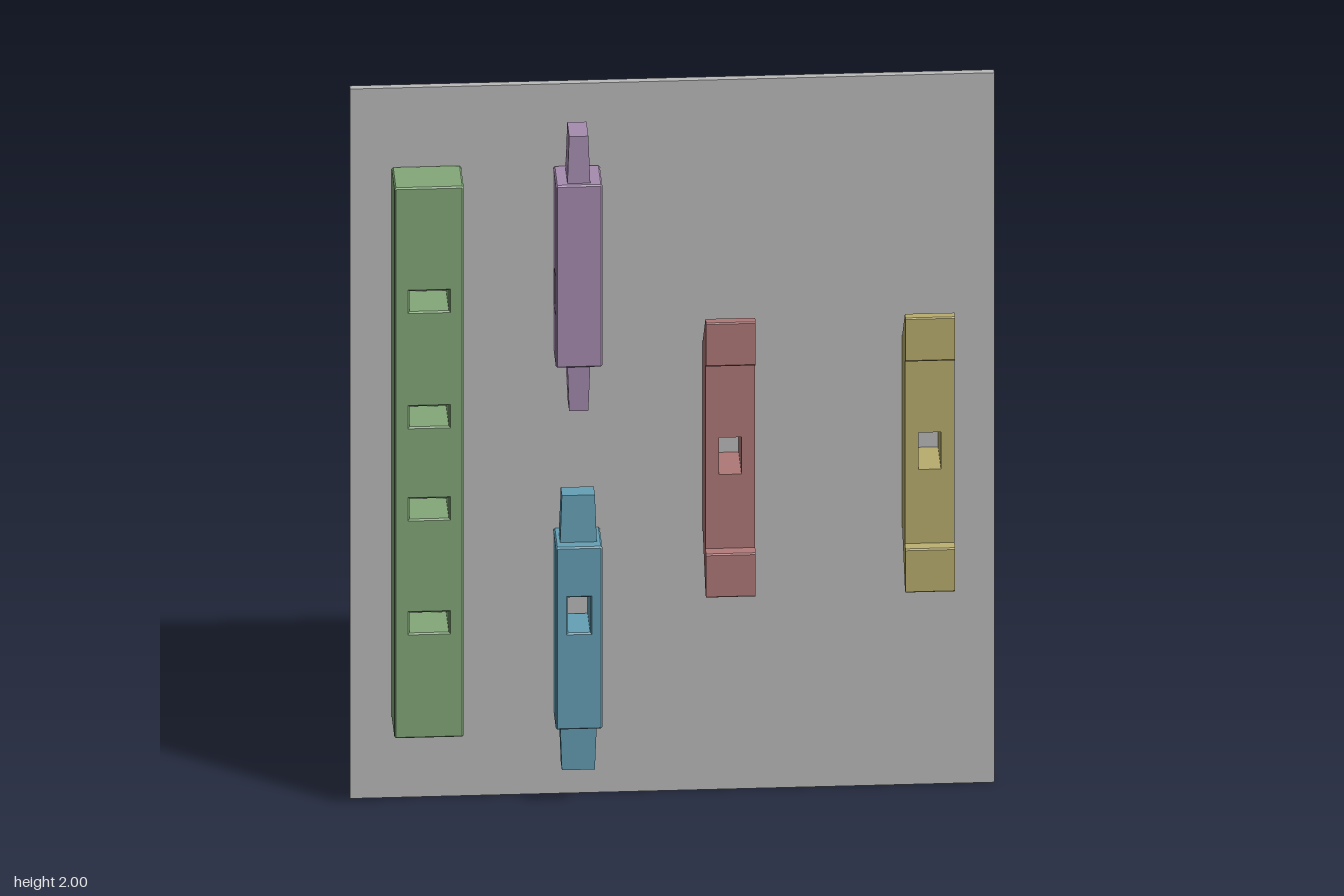
import * as THREE from 'three';

const paint = (name, color) => {
  const m = new THREE.MeshStandardMaterial({ color });
  m.name = name;
  return m;
};

const BACK = -0.067; // front face of the board, where every part rests

function part(name, geometry, material, parent) {
  const mesh = new THREE.Mesh(geometry, material);
  mesh.name = name;
  parent.add(mesh);
  return mesh;
}

function rectPath(path, x, y, w, h, c = 0) {
  const a = w / 2, b = h / 2;
  const pts = c
    ? [[-a + c, -b], [a - c, -b], [a, -b + c], [a, b - c], [a - c, b], [-a + c, b], [-a, b - c], [-a, -b + c]]
    : [[-a, -b], [a, -b], [a, b], [-a, b]];
  path.setFromPoints(pts.map(([px, py]) => new THREE.Vector2(x + px, y + py)));
  path.closePath();
  return path;
}

// Upright block centred on x, z with mortises [y, w, h] cut through its depth
function mortisedBlock(w, y0, y1, depth, holes, bevel) {
  const shape = rectPath(new THREE.Shape(), 0, (y0 + y1) / 2, w, y1 - y0, bevel);
  for (const [y, hw, hh] of holes) shape.holes.push(rectPath(new THREE.Path(), 0, y, hw, hh));
  const g = new THREE.ExtrudeGeometry(shape, {
    depth: depth - 2 * bevel, bevelEnabled: bevel > 0,
    bevelThickness: bevel, bevelSize: bevel, bevelOffset: -bevel, bevelSegments: 1,
  });
  return g.translate(0, 0, -(depth - 2 * bevel) / 2);
}

// Tenon narrowing slightly away from its shoulder; dir is +1 up or -1 down
function tenon(y, dir) {
  const g = new THREE.BoxGeometry(0.093, 0.13, 0.058).toNonIndexed();
  const p = g.attributes.position;
  for (let i = 0; i < p.count; i++) {
    if (p.getY(i) * dir > 0) {
      p.setX(i, p.getX(i) * 0.9);
      p.setZ(i, p.getZ(i) * 0.84);
    }
  }
  g.computeVertexNormals();
  return g.translate(0, y + dir * 0.065, 0);
}

// Square post with a tenon at each end and one mortise
function tenonedPost(name, y0, y1, holeY, material) {
  const post = new THREE.Group();
  post.name = name;
  part('postBody', mortisedBlock(0.118, y0, y1, 0.118, [[holeY, 0.056, 0.1]], 0.004), material, post);
  part('upperTenon', tenon(y1, 1), material, post);
  part('lowerTenon', tenon(y0, -1), material, post);
  post.position.set(-0.243, 0, -0.007);
  return post;
}

// Brace with a mortised middle and two raised, slanted ends
function brace(name, x, material) {
  const g = new THREE.Group();
  g.name = name;
  const w = 0.126, mid = 1.0015, half = 0.26, tip = 0.387, front = 0.061;
  part('braceMiddle', mortisedBlock(w, mid - half, mid + half, front - BACK, [[mid, 0.057, 0.104]], 0), material, g)
    .position.z = (front + BACK) / 2;
  for (const s of [1, -1]) {
    const pts = [[BACK, half], [front, half], [0.083, half + 0.004], [0.086, half + 0.008],
      [0.086, tip - 0.003], [0.083, tip], [0.06, tip]];
    const shape = new THREE.Shape(pts.map(([z, y]) => new THREE.Vector2(z, y * s)));
    const end = new THREE.ExtrudeGeometry(shape, { depth: w, bevelEnabled: false });
    end.translate(0, 0, -w / 2).rotateY(-Math.PI / 2); // profile x becomes z
    part(s > 0 ? 'upperEnd' : 'lowerEnd', end, material, g).position.y = mid;
  }
  g.position.x = x;
  return g;
}

export function createModel() {
  const model = new THREE.Group();
  model.name = 'joineryBoard';

  const grey = paint('boardGrey', 0xbababa);
  const green = paint('beamGreen', 0x84a879);
  const purple = paint('postPurple', 0xa68cb0);
  const blue = paint('postBlue', 0x66a0b6);
  const red = paint('braceRed', 0xb07878);
  const yellow = paint('braceYellow', 0xb8ad6e);

  // Backing board
  part('backBoard', new THREE.BoxGeometry(1.635, 2, 0.019).translate(0, 1, -0.0765), grey, model);

  // Long beam with four mortises
  const holes = [1.457, 1.132, 0.872, 0.551].map((y) => [y, 0.1, 0.058]);
  part('longBeam', mortisedBlock(0.176, 0.226, 1.778, 0.125, holes, 0.004), green, model)
    .position.set(-0.624, 0, BACK + 0.0625);

  // Matching posts, the upper one turned a quarter
  const upper = tenonedPost('upperPost', 1.256, 1.77, 1.448, purple);
  upper.rotation.y = Math.PI / 2;
  model.add(upper, tenonedPost('lowerPost', 0.236, 0.75, 0.558, blue));

  // Pair of braces
  model.add(brace('innerBrace', 0.14, red), brace('outerBrace', 0.646, yellow));
  return model;
}
